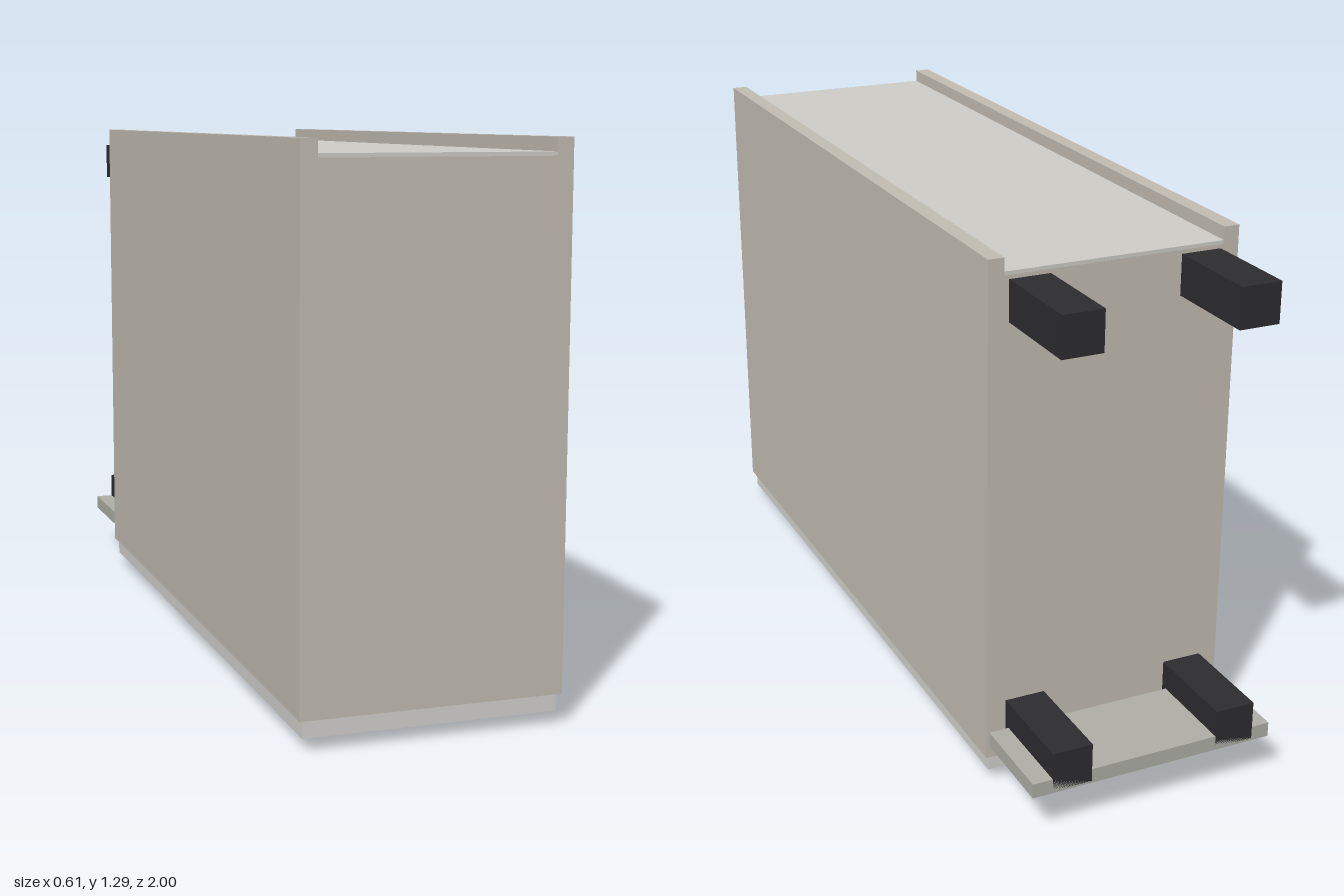
import * as THREE from 'three';

const mat = (color) => new THREE.MeshStandardMaterial({ color });

// Box given by its min and max corners
function box(name, material, [x0, y0, z0], [x1, y1, z1]) {
  const mesh = new THREE.Mesh(new THREE.BoxGeometry(x1 - x0, y1 - y0, z1 - z0), material);
  mesh.position.set((x0 + x1) / 2, (y0 + y1) / 2, (z0 + z1) / 2);
  mesh.name = name;
  return mesh;
}

export function createModel() {
  const group = new THREE.Group();
  const BACK = -0.755, FRONT = 1;
  const W = 0.305, INNER = 0.267;
  const FLOOR = 1.25, TOP = 1.29, BOTTOM = 0.072;

  // Housing: block with a raised rail along each top edge
  const profile = new THREE.Shape([
    [-W, BOTTOM], [W, BOTTOM], [W, TOP], [INNER, TOP],
    [INNER, FLOOR], [-INNER, FLOOR], [-INNER, TOP], [-W, TOP],
  ].map(([x, y]) => new THREE.Vector2(x, y)));
  const housing = new THREE.Mesh(
    new THREE.ExtrudeGeometry(profile, { depth: FRONT - BACK, bevelEnabled: false }),
    mat(0xc4beb4));
  housing.position.z = BACK;
  housing.name = 'housing';
  group.add(housing);

  // Lid panel between the rails
  group.add(box('topPanel', mat(0xd0cfc9), [-INNER, FLOOR, BACK], [INNER, 1.259, FRONT]));

  // Slightly inset base plate and the pull bar beneath it
  group.add(box('basePlate', mat(0xd4d3ce), [-0.295, 0.031, -0.745], [0.295, BOTTOM, 0.99]));
  group.add(box('pullBar', mat(0x808085), [-0.117, 0, 0.798], [0.117, 0.031, 0.826]));

  // Four rear mounting arms
  const dark = mat(0x2d2d2f);
  for (const [level, y] of [['upper', 1.145], ['lower', 0.12]]) {
    for (const [side, x] of [['Left', 0.207], ['Right', -0.211]]) {
      group.add(box(`${level}Arm${side}`, dark,
        [x - 0.049, y, -1], [x + 0.049, y + 0.096, BACK]));
    }
  }

  // Rear shelf around the lower arms
  group.add(box('rearShelf', mat(0xb0b0a8), [-W, 0.115, -1.0], [W, 0.151, -0.771]));

  return group;
}
